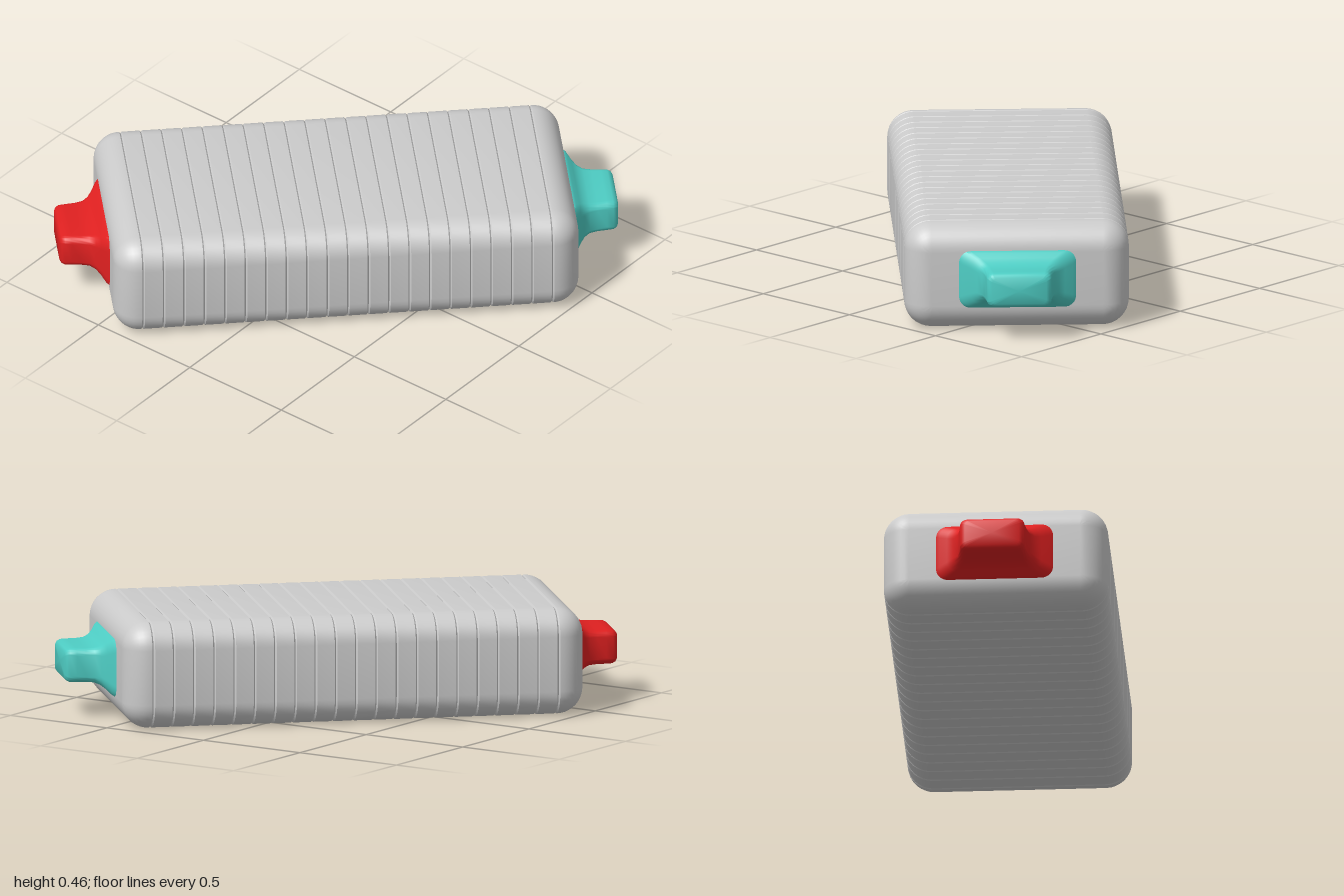
import * as THREE from 'three';
import { toCreasedNormals } from 'three/addons/utils/BufferGeometryUtils.js';

const CORNER_STEPS = 8;

// Outline of a rounded rectangle, counter-clockwise seen from +z.
function roundedRect(halfW, halfH, radius) {
  const pts = [];
  const centres = [[1, 1], [-1, 1], [-1, -1], [1, -1]];
  centres.forEach(([sx, sy], corner) => {
    for (let i = 0; i <= CORNER_STEPS; i++) {
      const a = (corner + i / CORNER_STEPS) * Math.PI / 2;
      pts.push([
        sx * (halfW - radius) + radius * Math.cos(a),
        sy * (halfH - radius) + radius * Math.sin(a),
      ]);
    }
  });
  return pts;
}

// Skins rounded-rectangle sections [z, halfWidth, halfHeight, radius] along z, capping both ends.
function loft(sections, crease) {
  const position = [], index = [];
  const n = 4 * (CORNER_STEPS + 1);
  for (const [z, w, h, r] of sections) {
    for (const [x, y] of roundedRect(w, h, r)) position.push(x, y, z);
  }
  for (let s = 0; s < sections.length - 1; s++) {
    for (let i = 0; i < n; i++) {
      const j = (i + 1) % n, a = s * n, b = a + n;
      index.push(a + i, a + j, b + j, a + i, b + j, b + i);
    }
  }
  const last = (sections.length - 1) * n, c0 = sections.length * n, c1 = c0 + 1;
  position.push(0, 0, sections[0][0], 0, 0, sections[sections.length - 1][0]);
  for (let i = 0; i < n; i++) {
    const j = (i + 1) % n;
    index.push(c0, j, i, c1, last + i, last + j);
  }
  const geometry = new THREE.BufferGeometry();
  geometry.setAttribute('position', new THREE.Float32BufferAttribute(position, 3));
  geometry.setIndex(index);
  return toCreasedNormals(geometry, crease);
}

// Rounded block with shallow grooves running around it.
function bodyGeometry() {
  const halfL = 1, halfW = 0.48, halfH = 0.231, r = 0.113;
  const grooves = 21, reach = 0.88, width = 0.006, depth = 0.006;
  const stations = [];
  for (let i = 0; i <= 10; i++) {
    const z = halfL - r + r * Math.sin(i / 10 * Math.PI / 2);
    stations.push([z, 0], [-z, 0]);
  }
  for (let i = 0; i < grooves; i++) {
    const z = -reach + 2 * reach * i / (grooves - 1);
    stations.push([z - width, 0], [z, depth], [z + width, 0]);
  }
  stations.sort((a, b) => a[0] - b[0]);
  return loft(stations.map(([z, cut]) => {
    const t = Math.max(0, Math.abs(z) - (halfL - r));
    const inset = r - Math.sqrt(Math.max(0, r * r - t * t)) + cut;
    return [z, halfW - inset, halfH - inset, Math.max(0.004, r - inset)];
  }), 0.6);
}

// Flared end knob: wide pad, pinched neck, blunt tip.
function knobGeometry() {
  return loft([
    [0.95, 0.25, 0.125, 0.05],
    [1.0, 0.25, 0.125, 0.05],
    [1.012, 0.236, 0.118, 0.05],
    [1.03, 0.202, 0.1, 0.045],
    [1.05, 0.175, 0.085, 0.04],
    [1.075, 0.155, 0.076, 0.035],
    [1.11, 0.146, 0.073, 0.03],
    [1.15, 0.14, 0.074, 0.03],
    [1.178, 0.138, 0.073, 0.03],
    [1.192, 0.13, 0.067, 0.026],
    [1.2, 0.116, 0.056, 0.02],
  ], 0.8);
}

export function createModel() {
  const model = new THREE.Group();
  model.name = 'ribbedBlock';

  const add = (name, geometry, color, turn = 0) => {
    const mesh = new THREE.Mesh(geometry, new THREE.MeshStandardMaterial({ color }));
    mesh.name = name;
    mesh.rotation.y = turn;
    model.add(mesh);
  };

  add('body', bodyGeometry(), 0xcccccc);
  const knob = knobGeometry();
  add('frontKnob', knob, 0x4ecdc4);
  add('backKnob', knob, 0xe02020, Math.PI);

  // The block lies diagonally across the ground.
  model.rotation.y = Math.PI / 4;
  model.position.y = 0.236;
  return model;
}
